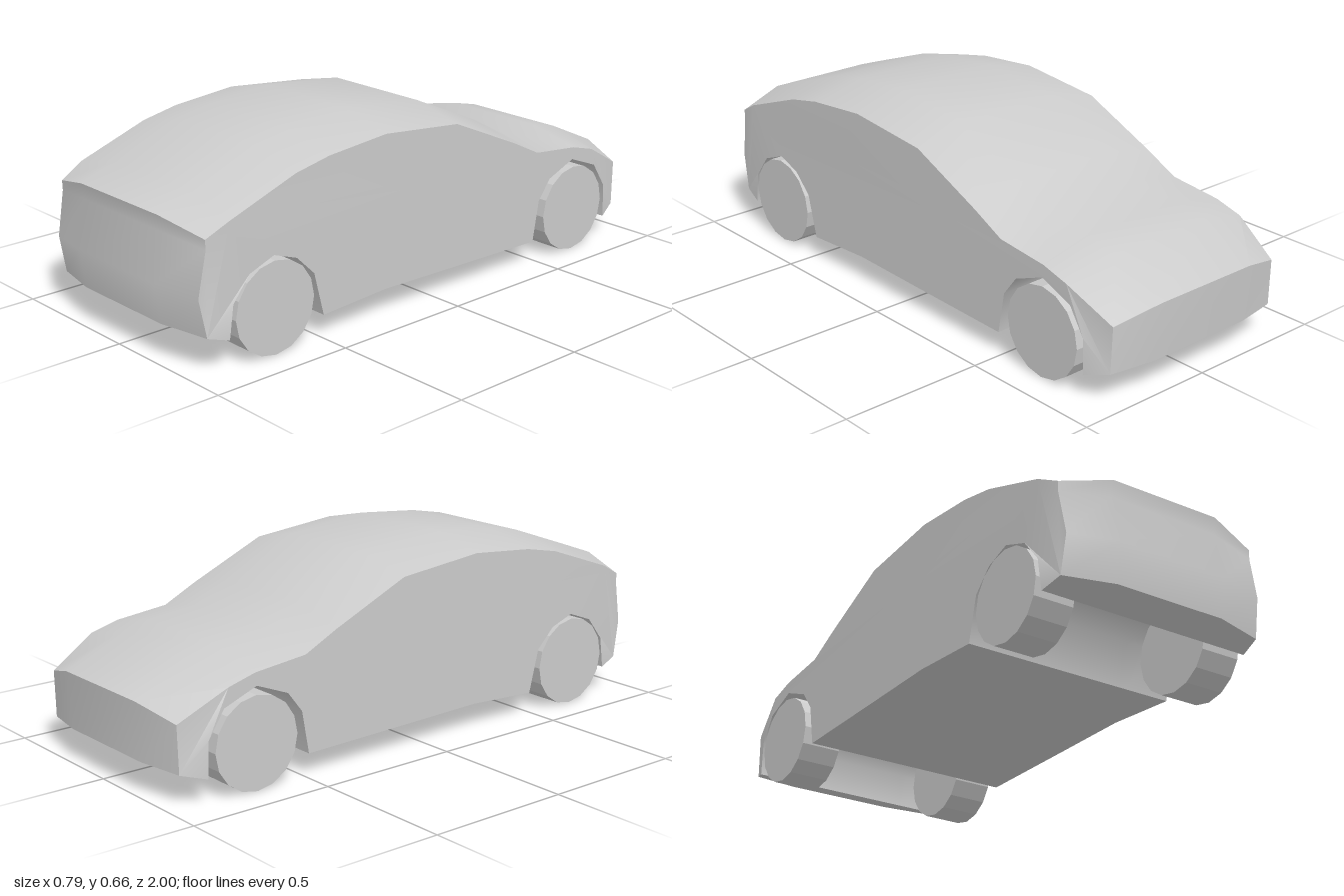
import * as THREE from 'three';
import { toCreasedNormals } from 'three/addons/utils/BufferGeometryUtils.js';

// Upper outline as [z, y] on the middle panel, then [z, y] at the flank edge
const upper = [
  [0.98, 0.125, 0.94, 0.12], [1, 0.26, 0.965, 0.25], [0.97, 0.42, 0.937, 0.40], [0.98, 0.475, 0.938, 0.433],
  [0.855, 0.52, 0.855, 0.476], [0.6, 0.61, 0.6, 0.566], [0.465, 0.636, 0.465, 0.593],
  [0.225, 0.658, 0.225, 0.614], [-0.095, 0.626, -0.095, 0.583], [-0.375, 0.503, -0.375, 0.46],
  [-0.497, 0.438, -0.497, 0.4], [-0.69, 0.422, -0.69, 0.38], [-0.8, 0.396, -0.79, 0.353],
  [-1, 0.305, -0.957, 0.262], [-0.985, 0.108, -0.953, 0.103],
];
// Underside with both wheel arches, the same across the whole width
const lower = [
  [-0.87, 0.08], [-0.866, 0.2], [-0.807, 0.29], [-0.685, 0.337], [-0.567, 0.29], [-0.513, 0.22], [-0.487, 0.075],
  [-0.09, 0.083], [0.225, 0.09],
  [0.492, 0.075], [0.53, 0.225], [0.6, 0.294], [0.69, 0.326], [0.786, 0.29], [0.85, 0.21], [0.866, 0.098],
];

// Half width of the flank, narrowing towards both bumpers
const flankX = (z) => 0.39 - Math.max(0, Math.abs(z) - 0.87) * (z > 0 ? 0.2 : 0.37);

function bodyGeometry() {
  const middle = [...upper.map(([z, y]) => [z, y]), ...lower];
  const flank = [...upper.map(([, , z, y]) => [z, y]), ...lower];
  const n = middle.length;
  const rings = [
    flank.map(([z, y]) => [-flankX(z), y, z]),
    middle.map(([z, y]) => [-0.2, y, z]),
    middle.map(([z, y]) => [0.2, y, z]),
    flank.map(([z, y]) => [flankX(z), y, z]),
  ];
  const index = [];

  // Skin between neighbouring outlines
  for (let r = 0; r < 3; r++) {
    for (let i = 0; i < n; i++) {
      const j = (i + 1) % n;
      const a = r * n + i, b = r * n + j, c = b + n, d = a + n;
      index.push(a, d, c, a, c, b);
    }
  }

  // Flat flanks
  const outline = flank.map(([z, y]) => new THREE.Vector2(z, y));
  for (const [a, b, c] of THREE.ShapeUtils.triangulateShape(outline, [])) {
    const clockwise = THREE.ShapeUtils.area([outline[a], outline[b], outline[c]]) < 0;
    const [p, q] = clockwise ? [b, c] : [c, b];
    const o = 3 * n;
    index.push(o + a, o + p, o + q, a, q, p);
  }

  const geometry = new THREE.BufferGeometry();
  geometry.setAttribute('position', new THREE.Float32BufferAttribute(rings.flat(2), 3));
  geometry.setIndex(index);
  return toCreasedNormals(geometry, 0.7);
}

export function createModel() {
  const car = new THREE.Group();
  car.name = 'car';

  const body = new THREE.Mesh(bodyGeometry(), new THREE.MeshStandardMaterial({ color: 0xcccccc }));
  body.name = 'body';
  car.add(body);

  // Faceted wheels
  const wheelGeometry = new THREE.CylinderGeometry(0.155, 0.155, 0.144, 16).rotateZ(Math.PI / 2);
  const wheelMaterial = new THREE.MeshStandardMaterial({ color: 0xcccccc, flatShading: true });
  for (const [end, z] of [['front', 0.69], ['rear', -0.69]]) {
    for (const [side, sign] of [['Left', 1], ['Right', -1]]) {
      const wheel = new THREE.Mesh(wheelGeometry, wheelMaterial);
      wheel.name = `${end}${side}Wheel`;
      wheel.position.set(sign * 0.322, 0.155, z);
      car.add(wheel);
    }
  }
  return car;
}
